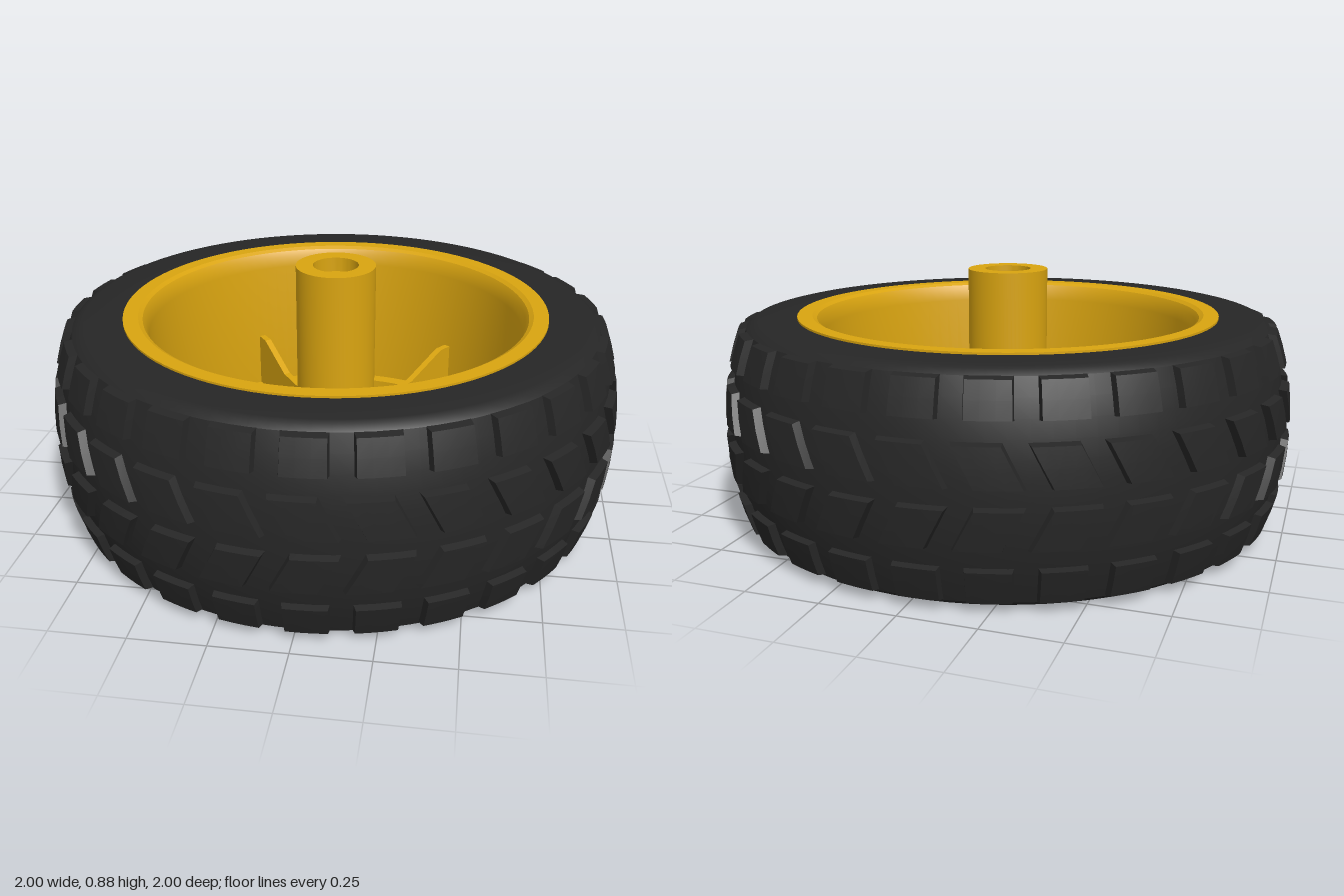
import * as THREE from 'three';
import { mergeGeometries, toCreasedNormals } from 'three/addons/utils/BufferGeometryUtils.js';

export function createModel() {
  const model = new THREE.Group();
  model.name = 'wheel';
  const rubber = new THREE.MeshStandardMaterial({ color: 0x262626 });
  rubber.name = 'black rubber';
  const plastic = new THREE.MeshStandardMaterial({ color: 0xd9a410 });
  plastic.name = 'yellow plastic';

  const add = (name, geometry, material, parent = model) => {
    const mesh = new THREE.Mesh(geometry, material);
    mesh.name = name;
    parent.add(mesh);
    return mesh;
  };
  // Profiles run counter-clockwise in (radius, height)
  const lathe = (points, segments = 96) => toCreasedNormals(
    new THREE.LatheGeometry(points.map(([r, y]) => new THREE.Vector2(r, y)), segments), 0.5);

  // Tyre carcass with a gently crowned outer face
  const MID = 0.362;
  const crown = (y) => 0.975 - 0.07 * Math.pow(Math.abs(y - MID) / 0.36, 2.2);
  const tyre = [[0.735, 0.004], [0.875, 0.004], [0.895, 0.009]];
  for (let i = 0; i <= 12; i++) {
    const y = 0.025 + (i / 12) * 0.674;
    tyre.push([crown(y), y]);
  }
  tyre.push([0.895, 0.715], [0.875, 0.72], [0.735, 0.72], [0.735, 0.004]);
  add('tyre', lathe(tyre), rubber);

  // Tread blocks: four rows, the two middle ones slanted as a chevron
  const COUNT = 28;
  const treadBlock = (angle, yMid, height, slant) => {
    const g = new THREE.BoxGeometry(1, 1, 1, 3, 2, 1);
    const p = g.attributes.position;
    for (let i = 0; i < p.count; i++) {
      const top = p.getZ(i) > 0;
      const inset = top ? 0.9 : 1;
      const v = p.getY(i) * inset;
      const a = angle + p.getX(i) * inset * 0.155 + v * slant;
      const y = yMid + v * height;
      const r = crown(y) + (top ? 0.025 : -0.008);
      p.setXYZ(i, r * Math.sin(a), y, r * Math.cos(a));
    }
    return toCreasedNormals(g, 0.4);
  };
  const rows = [[0.088, 0.12, 0], [0.272, 0.135, 0.07], [0.457, 0.135, -0.07], [0.641, 0.12, 0]];
  rows.forEach(([y, height, slant], n) => {
    const blocks = [];
    for (let k = 0; k < COUNT; k++) {
      blocks.push(treadBlock(0.045 + (k / COUNT) * Math.PI * 2, y, height, slant));
    }
    add(`treadRow${n + 1}`, mergeGeometries(blocks), rubber);
  });

  // Rim barrel with rolled lips and an inner shelf that carries the spokes
  add('rim', lathe([
    [0.69, 0], [0.742, 0], [0.742, 0.727], [0.69, 0.727], [0.675, 0.718], [0.665, 0.7],
    [0.657, 0.66], [0.655, 0.16], [0.605, 0.16], [0.605, 0.08], [0.66, 0.08],
    [0.665, 0.03], [0.675, 0.01], [0.69, 0],
  ]), plastic);

  // Five-armed star plate with rounded valleys
  const star = new THREE.Shape();
  const ARM = (Math.PI * 2) / 5;
  for (let k = 0; k < 5; k++) {
    const c = Math.cos(k * ARM), s = Math.sin(k * ARM);
    const at = (u, v) => [u * c + v * s, v * c - u * s];
    if (k === 0) star.moveTo(...at(-0.191, 0.263));
    star.quadraticCurveTo(...at(-0.143, 0.298), ...at(-0.125, 0.4));
    star.lineTo(...at(-0.093, 0.612));
    star.lineTo(...at(0.093, 0.612));
    star.lineTo(...at(0.125, 0.4));
    star.quadraticCurveTo(...at(0.143, 0.298), ...at(0.191, 0.263));
  }
  const eye = new THREE.Path();
  eye.absarc(0, 0, 0.255, 0, Math.PI * 2, true);
  star.holes.push(eye);
  const starGeometry = new THREE.ExtrudeGeometry(star, { depth: 0.125, bevelEnabled: false, curveSegments: 16 });
  starGeometry.rotateX(Math.PI / 2).translate(0, 0.162, 0);
  add('spokes', toCreasedNormals(starGeometry, 0.5), plastic);

  // Stiffening ribs standing on the spokes
  const ribShape = new THREE.Shape([[0.17, 0.15], [0.658, 0.15], [0.658, 0.37], [0.6, 0.37],
    [0.42, 0.29], [0.17, 0.28]].map(([x, y]) => new THREE.Vector2(x, y)));
  const ribGeometry = new THREE.ExtrudeGeometry(ribShape, { depth: 0.025, bevelEnabled: false });
  ribGeometry.translate(0, 0, -0.0125).rotateY(-Math.PI / 2);
  for (let k = 0; k < 5; k++) {
    add(`rib${k + 1}`, ribGeometry, plastic).rotation.y = k * ARM;
  }

  // Hub: flared cup underneath, domed shoulder and tall hollow post above
  add('hub', lathe([
    [0, 0.24], [0.14, 0.24], [0.145, 0.125], [0.2, 0.09], [0.256, 0.037], [0.258, 0.15], [0.3, 0.16],
    [0.225, 0.22], [0.22, 0.27], [0.21, 0.29], [0.19, 0.3], [0.14, 0.302],
    [0.14, 0.875], [0.08, 0.875], [0.08, 0.82], [0.078, 0.6], [0, 0.6],
  ], 64), plastic);

  // Double-flat shaft socket inside the post
  const socket = new THREE.Shape();
  socket.absarc(0, 0, 0.079, 0, Math.PI * 2, false);
  const slot = new THREE.Path();
  const half = Math.asin(0.055 / 0.074);
  slot.absarc(0, 0, 0.074, -half, half, false);
  slot.absarc(0, 0, 0.074, Math.PI - half, Math.PI + half, false);
  slot.closePath();
  socket.holes.push(slot);
  const socketGeometry = new THREE.ExtrudeGeometry(socket, { depth: 0.22, bevelEnabled: false, curveSegments: 24 });
  socketGeometry.rotateX(Math.PI / 2).translate(0, 0.825, 0);
  add('shaftSocket', toCreasedNormals(socketGeometry, 0.5), plastic);

  return model;
}
